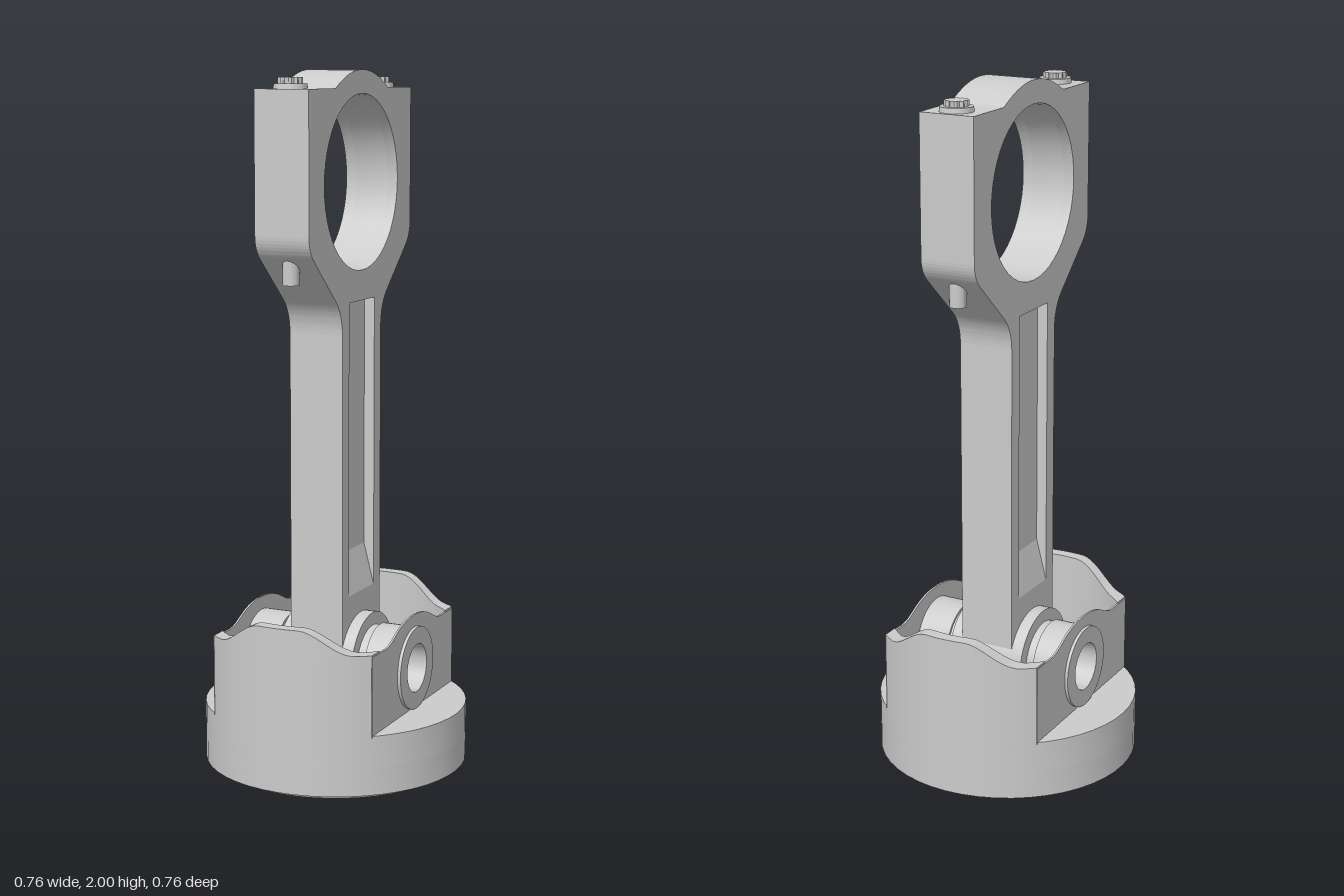
import * as THREE from 'three';
import { toCreasedNormals } from 'three/addons/utils/BufferGeometryUtils.js';

const PIN_Y = 0.31, BORE_Y = 1.69, R = 0.38, RIN = 0.342, WALL_X = 0.242;

export function createModel() {
  const root = new THREE.Group();
  const mat = new THREE.MeshStandardMaterial({ color: 0xcccccc });

  const add = (name, geo, parent = root) => {
    const mesh = new THREE.Mesh(toCreasedNormals(geo, 0.55), mat);
    mesh.name = name;
    parent.add(mesh);
    return mesh;
  };
  const group = (name) => {
    const g = new THREE.Group();
    g.name = name;
    root.add(g);
    return g;
  };
  const circle = (y, r) => new THREE.Path().absarc(0, y, r, 0, Math.PI * 2, true);
  const v = (pts) => pts.map(([a, b]) => new THREE.Vector2(a, b));
  // Extrude a side profile (z, y) across x from x0 to x1
  const slab = (shape, x0, x1) =>
    new THREE.ExtrudeGeometry(shape, { depth: x1 - x0, bevelEnabled: false, curveSegments: 24 })
      .rotateY(Math.PI / 2).translate(x0, 0, 0);
  // Turn a closed (radius, position) profile about the pin axis
  const turnedOnPin = (pts) =>
    new THREE.LatheGeometry(v(pts), 48).rotateZ(-Math.PI / 2).translate(0, PIN_Y, 0);

  // ---- Piston ----
  const piston = group('piston');
  add('crown', new THREE.LatheGeometry(v([
    [0, 0], [0.337, 0], [0.35, 0.02], [R, 0.02], [R, 0.1], [0, 0.1],
  ]), 48), piston);

  // Upper crown, open in the middle between the skirts
  const rim = new THREE.Shape().absarc(0, 0, R, 0, Math.PI * 2, false);
  const a = Math.acos(WALL_X / RIN);
  const well = new THREE.Path();
  well.absarc(0, 0, RIN, a, Math.PI - a, false);
  well.absarc(0, 0, RIN, Math.PI + a, Math.PI * 2 - a, false);
  well.closePath();
  rim.holes.push(well);
  add('crownRim', new THREE.ExtrudeGeometry(rim, { depth: 0.09, bevelEnabled: false, curveSegments: 24 })
    .rotateX(-Math.PI / 2).translate(0, 0.1, 0), piston);

  // Curved skirts whose top edge dips toward the sides
  for (const side of [0, 1]) {
    add(side ? 'backSkirt' : 'frontSkirt', skirtGeometry().rotateY(side * Math.PI), piston);
  }

  // Thin side walls with a raised arch over the pin
  const wall = new THREE.Shape();
  wall.moveTo(-0.29, 0.185);
  wall.lineTo(0.29, 0.185);
  wall.lineTo(0.29, 0.415);
  wall.lineTo(0.2, 0.415);
  wall.bezierCurveTo(0.14, 0.415, 0.12, 0.465, 0, 0.465);
  wall.bezierCurveTo(-0.12, 0.465, -0.14, 0.415, -0.2, 0.415);
  wall.lineTo(-0.29, 0.415);
  wall.closePath();
  wall.holes.push(circle(PIN_Y, 0.115));
  add('leftWall', slab(wall, 0.241, 0.247), piston);
  add('rightWall', slab(wall, -0.247, -0.241), piston);

  // ---- Hollow pin with lipped ends ----
  const half = [[0.07, 0.257], [0.12, 0.257], [0.12, 0.248], [0.117, 0.248],
    [0.117, 0.142], [0.11, 0.142]];
  const flip = half.map(([r, x]) => [r, -x]);
  add('pin', turnedOnPin([...flip, ...half.slice().reverse(), flip[0]]));

  // ---- Connecting rod ----
  const rod = group('connectingRod');
  const outline = () => {
    const s = new THREE.Shape();
    s.moveTo(0.13, PIN_Y + 0.068);
    s.lineTo(0.13, 1.27);
    s.quadraticCurveTo(0.13, 1.335, 0.175, 1.375);
    s.lineTo(0.305, 1.49);
    s.quadraticCurveTo(0.34, 1.52, 0.34, 1.56);
    s.lineTo(0.34, 1.95);
    s.lineTo(0.175, 1.95);
    s.bezierCurveTo(0.11, 1.985, 0.06, 2, 0, 2);
    s.bezierCurveTo(-0.06, 2, -0.11, 1.985, -0.175, 1.95);
    s.lineTo(-0.34, 1.95);
    s.lineTo(-0.34, 1.56);
    s.quadraticCurveTo(-0.34, 1.52, -0.305, 1.49);
    s.lineTo(-0.175, 1.375);
    s.quadraticCurveTo(-0.13, 1.335, -0.13, 1.27);
    s.lineTo(-0.13, PIN_Y + 0.068);
    const t = Math.atan2(0.068, 0.13);
    s.absarc(0, PIN_Y, 0.147, Math.PI - t, Math.PI * 2 + t, false);
    s.holes.push(circle(BORE_Y, 0.245), circle(PIN_Y, 0.11));
    return s;
  };
  const web = 0.05, face = 0.081;
  add('web', slab(outline(), -web, web), rod);
  const flange = outline();
  flange.holes.push(new THREE.Path(v([[-0.085, 0.52], [-0.085, 1.36], [0.085, 1.36], [0.085, 0.52]])));
  for (const s of [-1, 1]) {
    const name = s > 0 ? 'left' : 'right';
    add(name + 'Flange', slab(flange, s > 0 ? web : -face, s > 0 ? face : -web), rod);
    // Pocket floor runs out to the face at its lower end
    const ramp = new THREE.Shape(v([[0.045, 0.52], [face, 0.52], [web, 0.64], [0.045, 0.64]]));
    add(name + 'PocketRunout', new THREE.ExtrudeGeometry(ramp, { depth: 0.17, bevelEnabled: false })
      .translate(0, 0, -0.085).rotateY(s > 0 ? 0 : Math.PI), rod);
  }
  add('smallEnd', turnedOnPin([
    [0.11, -0.117], [0.147, -0.117], [0.147, 0.117], [0.11, 0.117], [0.11, -0.117],
  ]), rod);

  // ---- Cap bolts ----
  for (const s of [-1, 1]) {
    const bolt = group(s > 0 ? 'frontBolt' : 'backBolt');
    bolt.position.z = s * 0.284;
    add('boltFlange', new THREE.CylinderGeometry(0.045, 0.047, 0.014, 32).translate(0, 1.957, 0), bolt);
    const star = new THREE.Shape();
    for (let i = 0; i < 24; i++) {
      const r = i % 2 ? 0.029 : 0.034, t = i * Math.PI / 12;
      star[i ? 'lineTo' : 'moveTo'](r * Math.cos(t), r * Math.sin(t));
    }
    star.closePath();
    add('boltHead', new THREE.ExtrudeGeometry(star, { depth: 0.02, bevelEnabled: false })
      .rotateX(-Math.PI / 2).translate(0, 1.96, 0), bolt);
    add('boltEnd', new THREE.CylinderGeometry(0.024, 0.024, 0.14, 24).translate(0, 1.495, 0), bolt);
  }
  return root;
}

// Skirt built from four-cornered cross-sections stepped along x
function skirtGeometry() {
  const n = 32, pos = [], idx = [];
  for (let i = 0; i <= n; i++) {
    const x = -0.245 + 0.49 * i / n;
    const top = 0.49 - 0.07 * THREE.MathUtils.smoothstep(Math.abs(x), 0.06, 0.21);
    const zo = Math.sqrt(R * R - x * x), zi = Math.sqrt(RIN * RIN - x * x);
    pos.push(x, 0.185, zo, x, top, zo, x, top, zi, x, 0.185, zi);
  }
  for (let i = 0; i < n; i++) {
    for (let j = 0; j < 4; j++) {
      const k = (j + 1) % 4, p = i * 4, q = p + 4;
      idx.push(p + j, q + j, q + k, p + j, q + k, p + k);
    }
  }
  const e = n * 4;
  idx.push(0, 1, 2, 0, 2, 3, e, e + 2, e + 1, e, e + 3, e + 2);
  const g = new THREE.BufferGeometry();
  g.setAttribute('position', new THREE.Float32BufferAttribute(pos, 3));
  g.setIndex(idx);
  return g;
}
